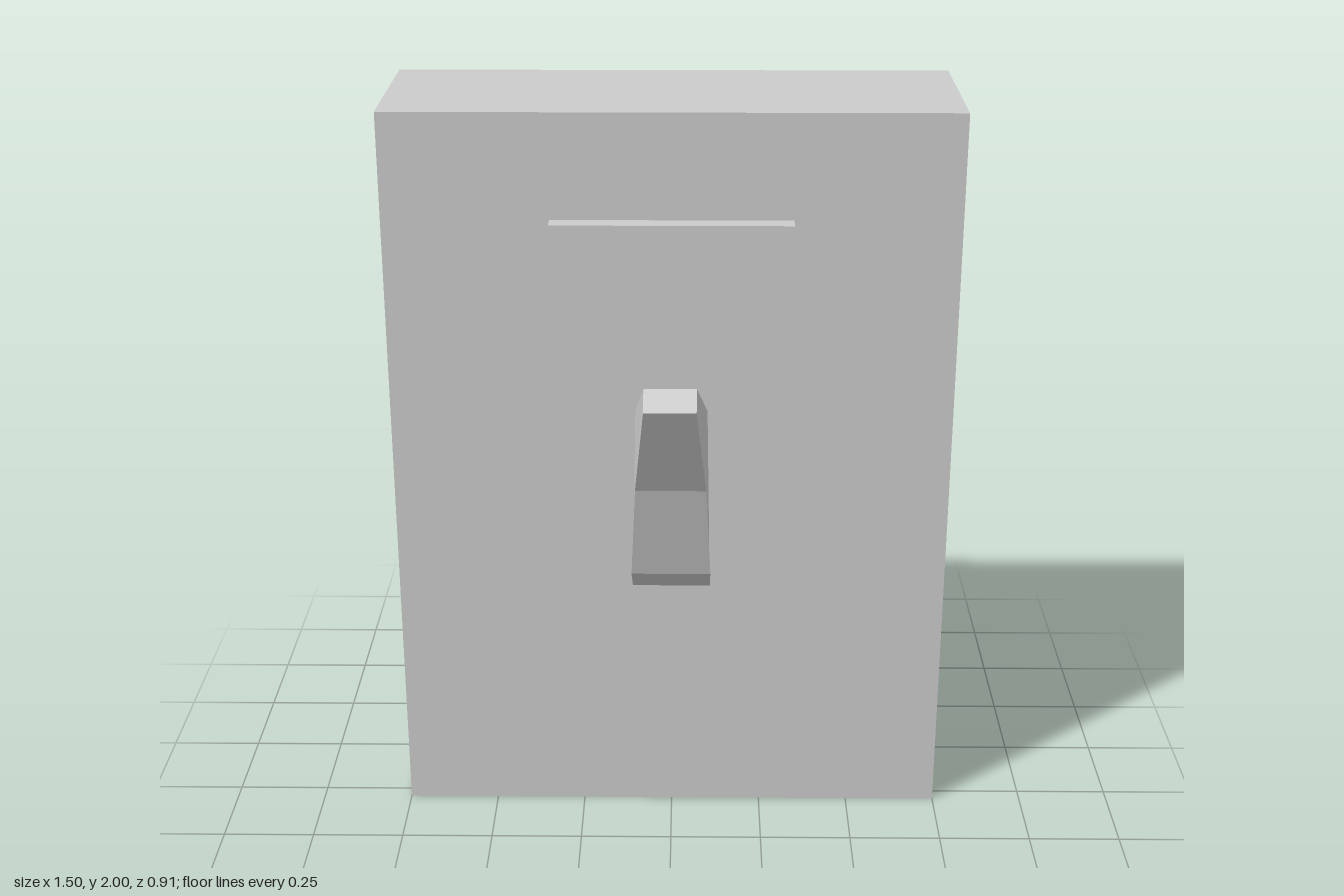
import * as THREE from 'three';

const material = new THREE.MeshStandardMaterial({ color: 0xcccccc, flatShading: true });

function addBox(group, name, size, position) {
  const mesh = new THREE.Mesh(new THREE.BoxGeometry(...size), material);
  mesh.name = name;
  mesh.position.set(...position);
  group.add(mesh);
}

// Side outline extruded across x, then narrowed towards the tip
function leverGeometry() {
  // z, y, half width
  const outline = [
    [0.08, 0.705, 0.105],
    [0.095, 0.705, 0.105],
    [0.21, 0.795, 0.105],
    [0.29, 1.07, 0.092],
    [0.457, 1.35, 0.066],
    [0.405, 1.395, 0.066],
    [0.12, 1.228, 0.094],
    [0.08, 1.21, 0.096],
  ];
  const shape = new THREE.Shape(outline.map(([z, y]) => new THREE.Vector2(z, y)));
  const geometry = new THREE.ExtrudeGeometry(shape, { depth: 2, bevelEnabled: false });
  geometry.translate(0, 0, -1).rotateY(-Math.PI / 2);

  const pos = geometry.attributes.position;
  for (let i = 0; i < pos.count; i++) {
    const point = outline.find(([z, y]) => Math.hypot(z - pos.getZ(i), y - pos.getY(i)) < 1e-4);
    pos.setX(i, pos.getX(i) * point[2]);
  }
  geometry.computeVertexNormals();
  return geometry;
}

export function createModel() {
  const model = new THREE.Group();
  model.name = 'toggleSwitch';

  // Housing and raised plate
  addBox(model, 'housing', [1.5, 2, 0.5], [0, 1, -0.208]);
  addBox(model, 'facePlate', [0.63, 1.435, 0.06], [0, 1.0025, 0.063]);

  // Toggle lever, tilted up
  const lever = new THREE.Mesh(leverGeometry(), material);
  lever.name = 'lever';
  model.add(lever);

  return model;
}
